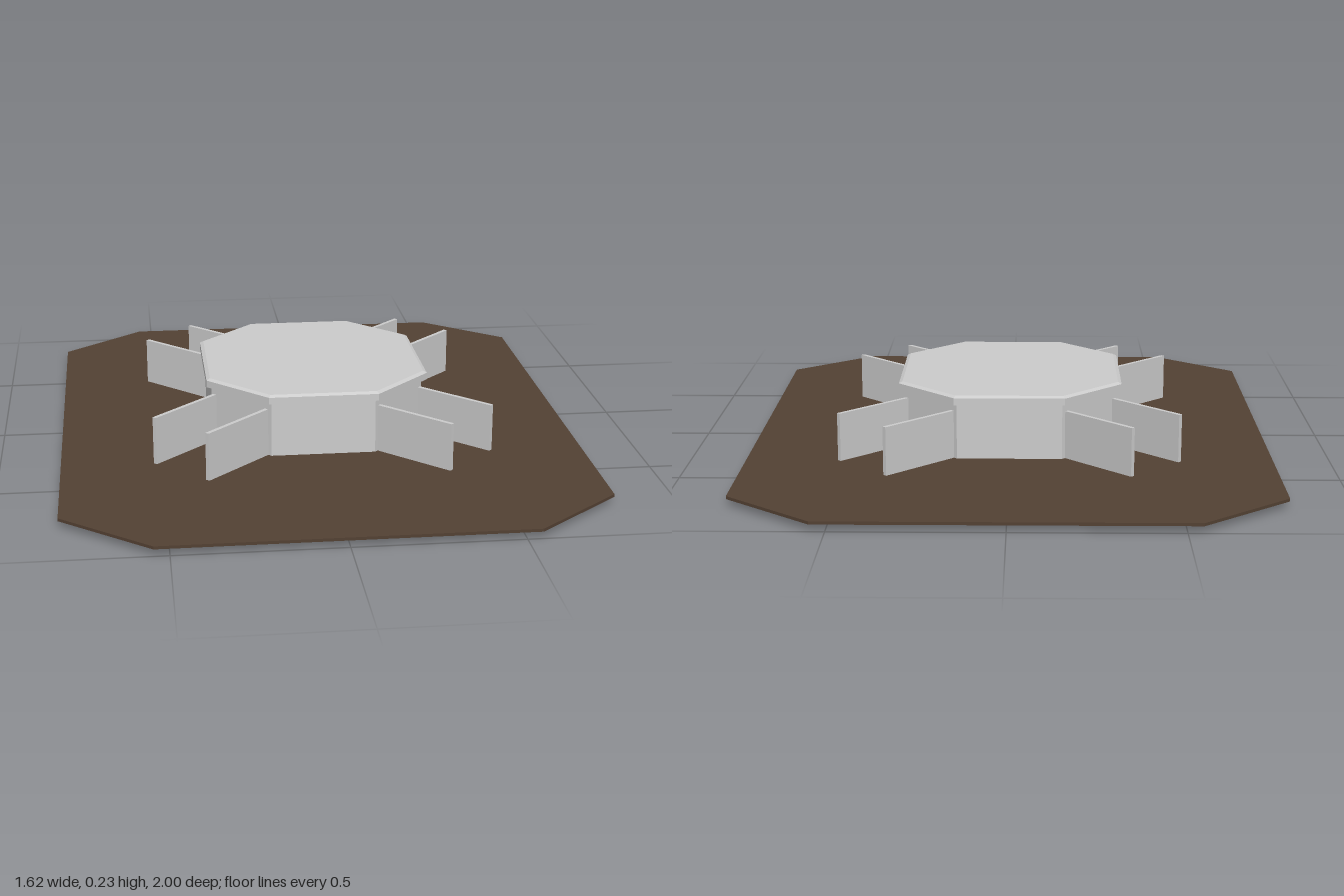
import * as THREE from 'three';

const grey = new THREE.MeshStandardMaterial({ color: 0xcccccc, flatShading: true });
const greyOpen = new THREE.MeshStandardMaterial({ color: 0xcccccc, flatShading: true, side: THREE.DoubleSide });
const brown = new THREE.MeshStandardMaterial({ color: 0x534133, flatShading: true });

// Stacks chamfered rectangles: each ring is [y, half x, half z, corner x, corner z]
function loft(rings, closed = true) {
  const pos = [], idx = [];
  for (const [y, hx, hz, cx, cz] of rings) {
    const outline = [[hx, cz], [hx, -cz], [cx, -hz], [-cx, -hz], [-hx, -cz], [-hx, cz], [-cx, hz], [cx, hz]];
    for (const [x, z] of outline) pos.push(x, y, z);
  }
  for (let r = 0; r < rings.length - 1; r++) {
    for (let i = 0; i < 8; i++) {
      const a = r * 8 + i, b = r * 8 + (i + 1) % 8;
      idx.push(a, b, b + 8, a, b + 8, a + 8);
    }
  }
  if (closed) {
    const top = (rings.length - 1) * 8;
    for (let i = 1; i < 7; i++) {
      idx.push(0, i + 1, i);
      idx.push(top, top + i, top + i + 1);
    }
  }
  const indexed = new THREE.BufferGeometry();
  indexed.setAttribute('position', new THREE.Float32BufferAttribute(pos, 3));
  indexed.setIndex(idx);
  const geo = indexed.toNonIndexed();
  geo.computeVertexNormals();
  return geo;
}

function part(name, geometry, material, parent) {
  const mesh = new THREE.Mesh(geometry, material);
  mesh.name = name;
  parent.add(mesh);
  return mesh;
}

export function createModel() {
  const model = new THREE.Group();
  model.name = 'chamferedHub';

  // Thin ground plate
  part('basePlate', loft([[0.021, 0.81, 1, 0.545, 0.775], [0.03, 0.81, 1, 0.545, 0.775]]), brown, model);

  // Everything on the plate sits slightly behind its centre
  const hub = new THREE.Group();
  hub.name = 'hub';
  hub.position.z = -0.015;
  model.add(hub);

  // Body and overhanging lid with a narrow bevel
  part('body', loft([[0.028, 0.335, 0.37, 0.162, 0.192], [0.206, 0.335, 0.37, 0.162, 0.192]]), grey, hub);
  part('lid', loft([
    [0.204, 0.351, 0.386, 0.17, 0.2],
    [0.226, 0.351, 0.386, 0.17, 0.2],
    [0.232, 0.34, 0.375, 0.165, 0.195],
  ]), grey, hub);

  // Open collar below the plate
  part('lowerCollar', loft([[0, 0.067, 0.1, 0.032, 0.053], [0.022, 0.067, 0.1, 0.032, 0.053]], false), greyOpen, hub);

  // A pair of diagonal fins at each chamfered corner: [inner x, inner z, outer x, outer z]
  const fins = [[0.165, 0.345, 0.37, 0.55], [0.315, 0.19, 0.522, 0.397]];
  for (const sx of [1, -1]) {
    for (const sz of [1, -1]) {
      for (const [x0, z0, x1, z1] of fins) {
        const length = Math.hypot(x1 - x0, z1 - z0);
        const fin = part('fin', new THREE.BoxGeometry(length, 0.152, 0.013), grey, hub);
        fin.position.set(sx * (x0 + x1) / 2, 0.104, sz * (z0 + z1) / 2);
        fin.rotation.y = -sx * sz * Math.PI / 4;
      }
    }
  }
  return model;
}
